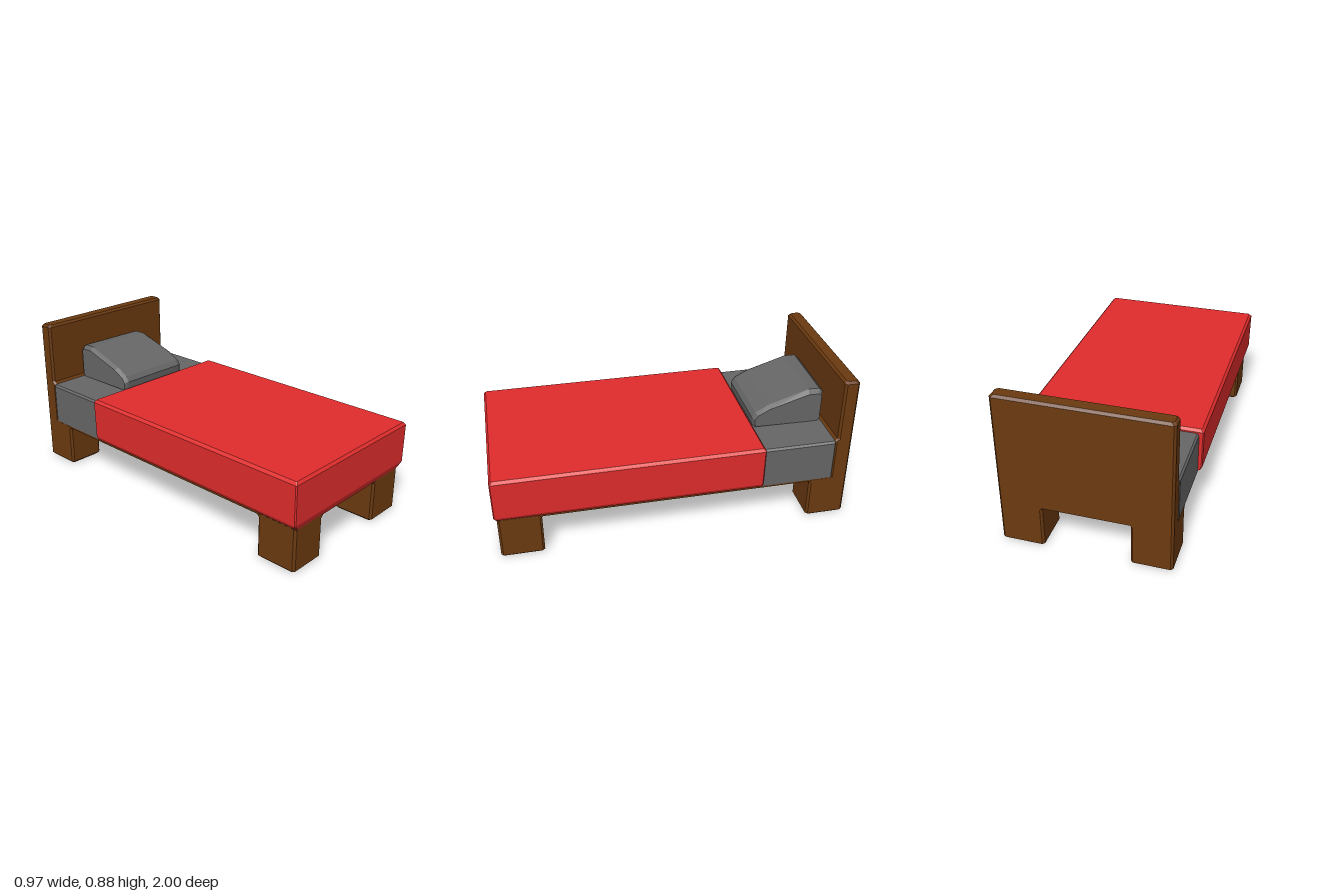
import * as THREE from 'three';
import { ConvexGeometry } from 'three/addons/geometries/ConvexGeometry.js';

const material = (color) => new THREE.MeshStandardMaterial({ color, flatShading: true });

// Convex block through horizontal sections [y, x0, x1, z0, z1], corners cut by c.
function block(name, mat, c, sections) {
  const points = [];
  for (const [y, x0, x1, z0, z1] of sections) {
    for (const [x, dx] of [[x0, c], [x1, -c]]) {
      for (const [z, dz] of [[z0, c], [z1, -c]]) {
        points.push(new THREE.Vector3(x + dx, y, z), new THREE.Vector3(x, y, z + dz));
      }
    }
  }
  const mesh = new THREE.Mesh(new ConvexGeometry(points), mat);
  mesh.name = name;
  return mesh;
}

export function createModel() {
  const bed = new THREE.Group();
  bed.name = 'bed';
  const wood = material(0x6b3a10);
  const grey = material(0x666666);
  const red = material(0xe02c2c);
  const X0 = -0.46, X1 = 0.457;

  // Headboard: a slightly thicker base and a bevelled upper panel
  bed.add(block('headboardBase', wood, 0.012, [
    [0.247, X0, X1, -1, -0.9],
    [0.5, X0, X1, -1, -0.9],
    [0.515, X0, X1, -1, -0.915],
  ]));
  bed.add(block('headboard', wood, 0.012, [
    [0.51, X0, X1, -1, -0.915],
    [0.862, X0, X1, -1, -0.915],
    [0.875, X0 + 0.012, X1 - 0.012, -0.988, -0.927],
  ]));

  // Bed base
  bed.add(block('bedBase', wood, 0.005, [
    [0.247, X0 + 0.002, X1 - 0.002, -0.95, 0.983],
    [0.262, X0, X1, -0.95, 0.983],
  ]));

  // Four legs, each flaring inwards where it meets the base
  const f = 0.015;
  for (const [side, x0, x1, fl, fr] of [['Right', X0, -0.24, 0, f], ['Left', 0.225, X1, f, 0]]) {
    for (const [end, z0, z1, fb, ff] of [['back', -1, -0.775, 0, f], ['front', 0.745, 0.985, f, 0]]) {
      const leg = new THREE.Group();
      leg.name = `${end}${side}Leg`;
      leg.add(block('post', wood, 0.012, [
        [0, x0 + 0.012, x1 - 0.012, z0 + 0.012, z1 - 0.012],
        [0.012, x0, x1, z0, z1],
        [0.255, x0, x1, z0, z1],
      ]));
      leg.add(block('flare', wood, 0.012, [
        [0.232, x0, x1, z0, z1],
        [0.25, x0 - fl, x1 + fr, z0 - fb, z1 + ff],
      ]));
      bed.add(leg);
    }
  }

  // Mattress, visible between blanket and headboard
  bed.add(block('mattress', grey, 0.003, [
    [0.26, X0 - 0.002, X1 + 0.002, -0.903, 0.95],
    [0.49, X0 - 0.002, X1 + 0.002, -0.903, 0.95],
    [0.502, X0 + 0.008, X1 - 0.008, -0.903, 0.94],
  ]));

  // Blanket, tucked in along its lower edge
  bed.add(block('blanket', red, 0.006, [
    [0.252, -0.447, 0.447, -0.485, 0.985],
    [0.27, -0.475, 0.472, -0.49, 0.992],
    [0.29, -0.485, 0.482, -0.49, 1],
    [0.51, -0.488, 0.486, -0.492, 1],
    [0.525, -0.474, 0.472, -0.48, 0.988],
  ]));

  // Pillow: sloping side profile [z, y], full in the middle and drawn in at the sides
  const profile = [
    [-0.495, 0.51], [-0.49, 0.56], [-0.51, 0.59], [-0.58, 0.63],
    [-0.82, 0.708], [-0.885, 0.707], [-0.905, 0.69], [-0.905, 0.52], [-0.89, 0.505],
  ];
  const pillowPoints = [];
  for (const [x, s] of [[-0.24, 0.9], [-0.215, 1], [0.2, 0.985], [0.228, 0.88]]) {
    for (const [z, y] of profile) {
      pillowPoints.push(new THREE.Vector3(x, 0.505 + (y - 0.505) * s, -0.7 + (z + 0.7) * (0.5 + s / 2)));
    }
  }
  const pillow = new THREE.Mesh(new ConvexGeometry(pillowPoints), grey);
  pillow.name = 'pillow';
  bed.add(pillow);

  return bed;
}
